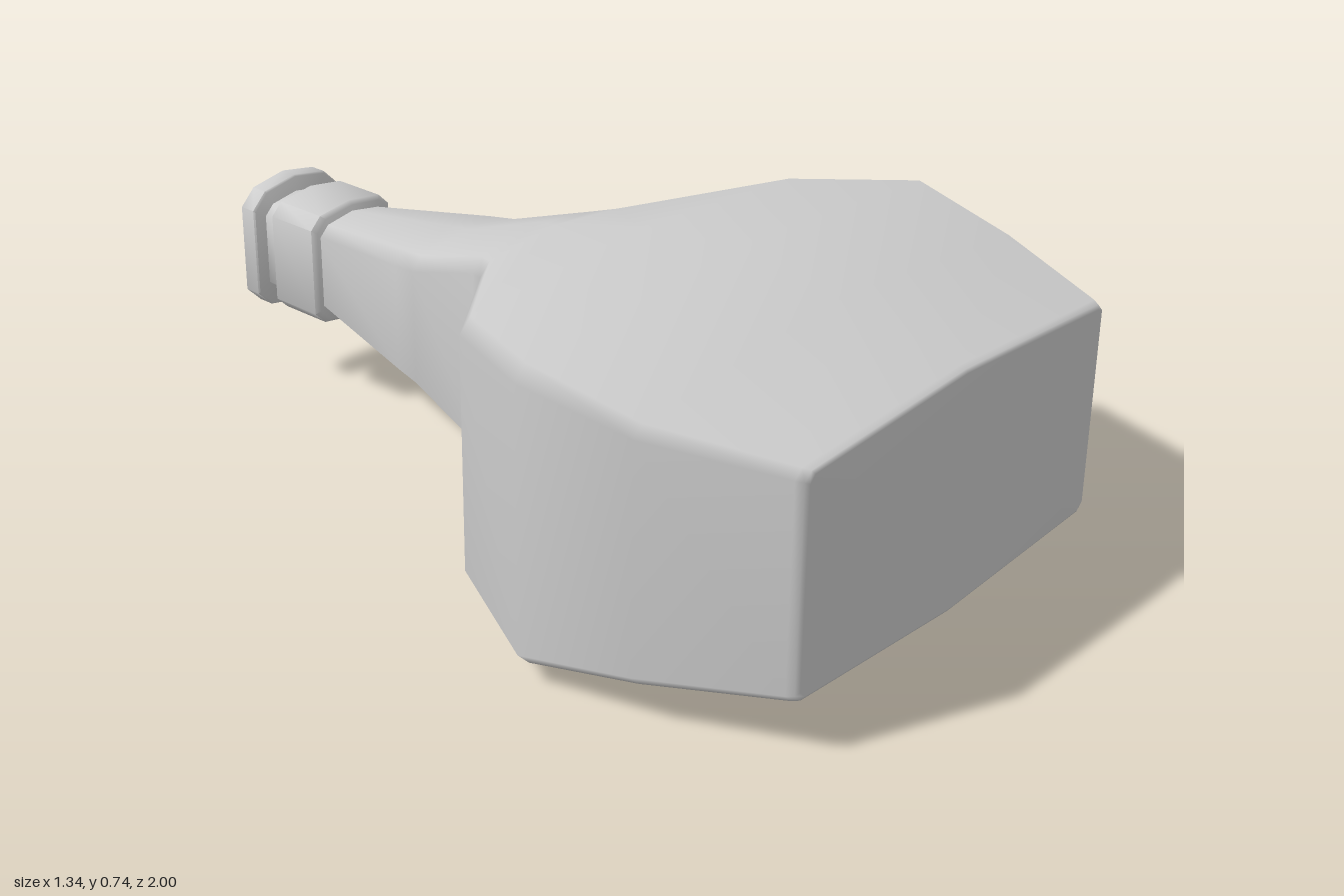
import * as THREE from 'three';
import { toCreasedNormals } from 'three/addons/utils/BufferGeometryUtils.js';

const CENTRE_Y = 0.37;

// Ten-sided section: upright sides, bevelled corners, ridged top and bottom
function section([z, w, ridge, corner, b]) {
  const half = [[w, corner - b], [w - b, corner], [0, ridge], [b - w, corner], [-w, corner - b]];
  return [...half, ...half.map(([x, y]) => [-x, -y])].map(([x, y]) => [x, y + CENTRE_Y, z]);
}

// Closed skin through sections listed from front (+z) to back
function loft(name, rings, crease) {
  const n = 10, pos = [], index = [];
  rings.forEach((r) => section(r).forEach((p) => pos.push(...p)));
  const front = rings.length * n, back = front + 1, last = (rings.length - 1) * n;
  pos.push(0, CENTRE_Y, rings[0][0], 0, CENTRE_Y, rings[rings.length - 1][0]);
  for (let i = 0; i < n; i++) {
    const j = (i + 1) % n;
    for (let r = 0; r < rings.length - 1; r++) {
      const a = r * n + i, b = r * n + j;
      index.push(a, a + n, b, b, a + n, b + n);
    }
    index.push(front, i, j, back, last + j, last + i);
  }
  let geometry = new THREE.BufferGeometry();
  geometry.setAttribute('position', new THREE.Float32BufferAttribute(pos, 3));
  geometry.setIndex(index);
  geometry.computeVertexNormals();
  if (crease) geometry = toCreasedNormals(geometry, crease);
  const mesh = new THREE.Mesh(geometry, new THREE.MeshStandardMaterial({ color: 0xcccccc }));
  mesh.name = name;
  return mesh;
}

export function createModel() {
  const model = new THREE.Group();
  model.name = 'bottle';

  // Each section: z, half width, ridge half height, corner half height, bevel
  model.add(loft('bottleBody', [
    [1, 0.495, 0.262, 0.235, 0.015],
    [0.995, 0.505, 0.27, 0.243, 0.018],
    [0.98, 0.515, 0.273, 0.247, 0.02],
    [0.7, 0.63, 0.335, 0.28, 0.025],
    [0.44, 0.67, 0.37, 0.33, 0.032],
    [0.17, 0.545, 0.335, 0.3, 0.032],
    [-0.08, 0.235, 0.272, 0.25, 0.03],
    [-0.13, 0.208, 0.265, 0.238, 0.03],
    [-0.35, 0.18, 0.188, 0.168, 0.03],
    [-0.42, 0.168, 0.178, 0.16, 0.03],
    [-0.76, 0.102, 0.125, 0.112, 0.025],
  ]));

  // Collar with softened rims
  model.add(loft('neckCollar', [
    [-0.745, 0.115, 0.142, 0.13, 0.03],
    [-0.755, 0.125, 0.152, 0.138, 0.03],
    [-0.895, 0.125, 0.152, 0.138, 0.03],
    [-0.905, 0.115, 0.142, 0.13, 0.03],
  ], 0.85));

  model.add(loft('stopperNeck', [
    [-0.89, 0.1, 0.125, 0.112, 0.025],
    [-0.96, 0.1, 0.125, 0.112, 0.025],
  ], 0.85));

  model.add(loft('stopperCap', [
    [-0.95, 0.132, 0.162, 0.145, 0.04],
    [-0.954, 0.135, 0.166, 0.149, 0.04],
    [-0.996, 0.135, 0.166, 0.149, 0.04],
    [-1, 0.132, 0.162, 0.145, 0.04],
  ], 0.85));

  return model;
}
